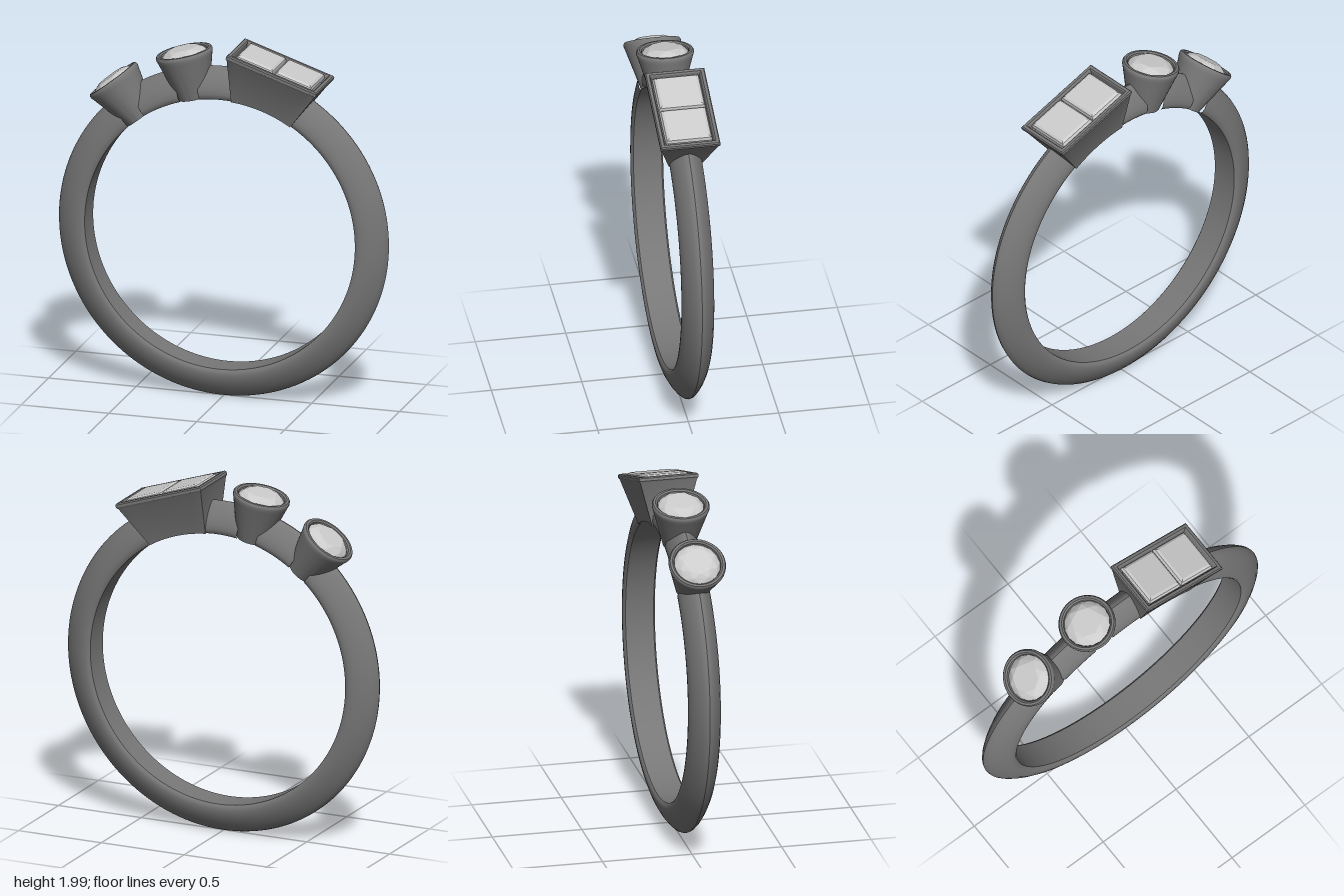
import * as THREE from 'three';
import { toCreasedNormals } from 'three/addons/utils/BufferGeometryUtils.js';
import { ConvexGeometry } from 'three/addons/geometries/ConvexGeometry.js';

const CENTRE_Y = 0.943;   // centre of the finger hole
const INNER = 0.77;       // finger hole radius
const metal = new THREE.MeshStandardMaterial({ color: 0x777777 });
const stone = new THREE.MeshStandardMaterial({ color: 0xcccccc, flatShading: true });
const rad = THREE.MathUtils.degToRad;

function mesh(name, geometry, material) {
  const m = new THREE.Mesh(geometry, material);
  m.name = name;
  return m;
}

const lathe = (pts, segments, start, length) =>
  new THREE.LatheGeometry(pts.map(([x, y]) => new THREE.Vector2(x, y)), segments, start, length);

// Domed band section swept between two angles, in degrees clockwise from the top
function bandArc(from, to) {
  const side = [[INNER, 0.078], [0.782, 0.088], [0.8, 0.09], [0.825, 0.086], [0.855, 0.075],
    [0.89, 0.055], [0.92, 0.032], [0.935, 0.015]];
  const profile = [
    ...side.map(([r, z]) => [r, -z]), [0.94, 0], ...side.slice().reverse(), [INNER, -0.078],
  ];
  const segments = Math.ceil((to - from) / 2.5);
  const g = lathe(profile, segments, Math.PI - rad(to), rad(to - from));
  g.rotateX(Math.PI / 2);
  return mesh('band', toCreasedNormals(g, 0.6), metal);
}

// Local frame whose y axis points outward from the finger hole
function settingGroup(name, angle) {
  const group = new THREE.Group();
  group.name = name;
  group.position.y = CENTRE_Y;
  group.rotation.z = -rad(angle);
  return group;
}

// Circle of points for a faceted stone
function circle(n, r, y, offset = 0) {
  return Array.from({ length: n }, (_, i) => {
    const a = ((i + offset) / n) * Math.PI * 2;
    return new THREE.Vector3(r * Math.cos(a), y, r * Math.sin(a));
  });
}

// Conical bezel with a through hole and a round brilliant stone
function roundSetting(angle) {
  const group = settingGroup('roundSetting', angle);
  const bezel = lathe([
    [0.052, 0.767], [0.087, 0.767], [0.151, 0.99], [0.157, 1.008], [0.157, 1.02], [0.151, 1.029],
    [0.138, 1.03], [0.129, 1.023], [0.125, 1.0], [0.052, 0.92], [0.052, 0.767],
  ], 64);
  group.add(mesh('bezel', toCreasedNormals(bezel, 0.6), metal));
  group.add(mesh('roundStone', new ConvexGeometry([
    ...circle(8, 0.08, 1.047), ...circle(8, 0.108, 1.034, 0.5), ...circle(16, 0.127, 1.012),
    new THREE.Vector3(0, 0.93, 0),
  ]), stone));
  return group;
}

// Skin through rectangular loops [half length, half depth, height];
// a missing height follows the finger hole
function rectangularLoft(loops) {
  const steps = 10;
  const outline = [[1, 1]];
  for (let i = 0; i <= steps; i++) outline.push([1 - (2 * i) / steps, -1]);
  for (let i = 0; i <= steps; i++) outline.push([-1 + (2 * i) / steps, 1]);
  const n = outline.length;
  const pos = [], index = [];
  loops.forEach(([hx, hz, y], row) => {
    for (const [u, w] of outline) {
      const x = u * hx;
      pos.push(x, y ?? Math.sqrt(INNER * INNER - x * x), w * hz);
    }
    if (row === 0) return;
    for (let j = 0; j < n - 1; j++) {
      const a = (row - 1) * n + j, d = a + n;
      index.push(a, a + 1, d + 1, a, d + 1, d);
    }
  });
  const g = new THREE.BufferGeometry();
  g.setAttribute('position', new THREE.Float32BufferAttribute(pos, 3));
  g.setIndex(index);
  return toCreasedNormals(g, 0.5);
}

// Step-cut rectangular stone
function stepStone(x) {
  const pts = [];
  for (const [hx, hz, y] of [[0.094, 0.108, 1.032], [0.106, 0.122, 1.024], [0.112, 0.13, 1.005], [0.05, 0.045, 0.93]])
    for (const sx of [-1, 1]) for (const sz of [-1, 1]) pts.push(new THREE.Vector3(x + sx * hx, y, sz * hz));
  return mesh('rectangularStone', new ConvexGeometry(pts), stone);
}

// Flared box setting, open underneath, holding two stones
function boxSetting(angle) {
  const group = settingGroup('boxSetting', angle);
  group.add(mesh('boxBezel', rectangularLoft([
    [0.13, 0.052], [0.177, 0.092], [0.262, 0.158, 0.992], [0.27, 0.165, 1.002], [0.27, 0.165, 1.017],
    [0.264, 0.159, 1.024], [0.248, 0.143, 1.024], [0.242, 0.137, 1.017], [0.236, 0.132, 0.985],
    [0.13, 0.052, 0.94], [0.13, 0.052],
  ]), metal));
  for (const side of [-1, 1]) group.add(stepStone(side * 0.115));
  return group;
}

export function createModel() {
  const model = new THREE.Group();
  model.name = 'ring';
  const outer = -38.2, middle = -12.9, box = 18.4;

  // Band, interrupted where the settings pass through it
  const roundGap = 4.2, boxGap = 11;
  const band = new THREE.Group();
  band.name = 'bandParts';
  band.position.y = CENTRE_Y;
  band.add(
    bandArc(outer + roundGap, middle - roundGap),
    bandArc(middle + roundGap, box - boxGap),
    bandArc(box + boxGap, 360 + outer - roundGap),
  );

  model.add(band, roundSetting(outer), roundSetting(middle), boxSetting(box));
  return model;
}
